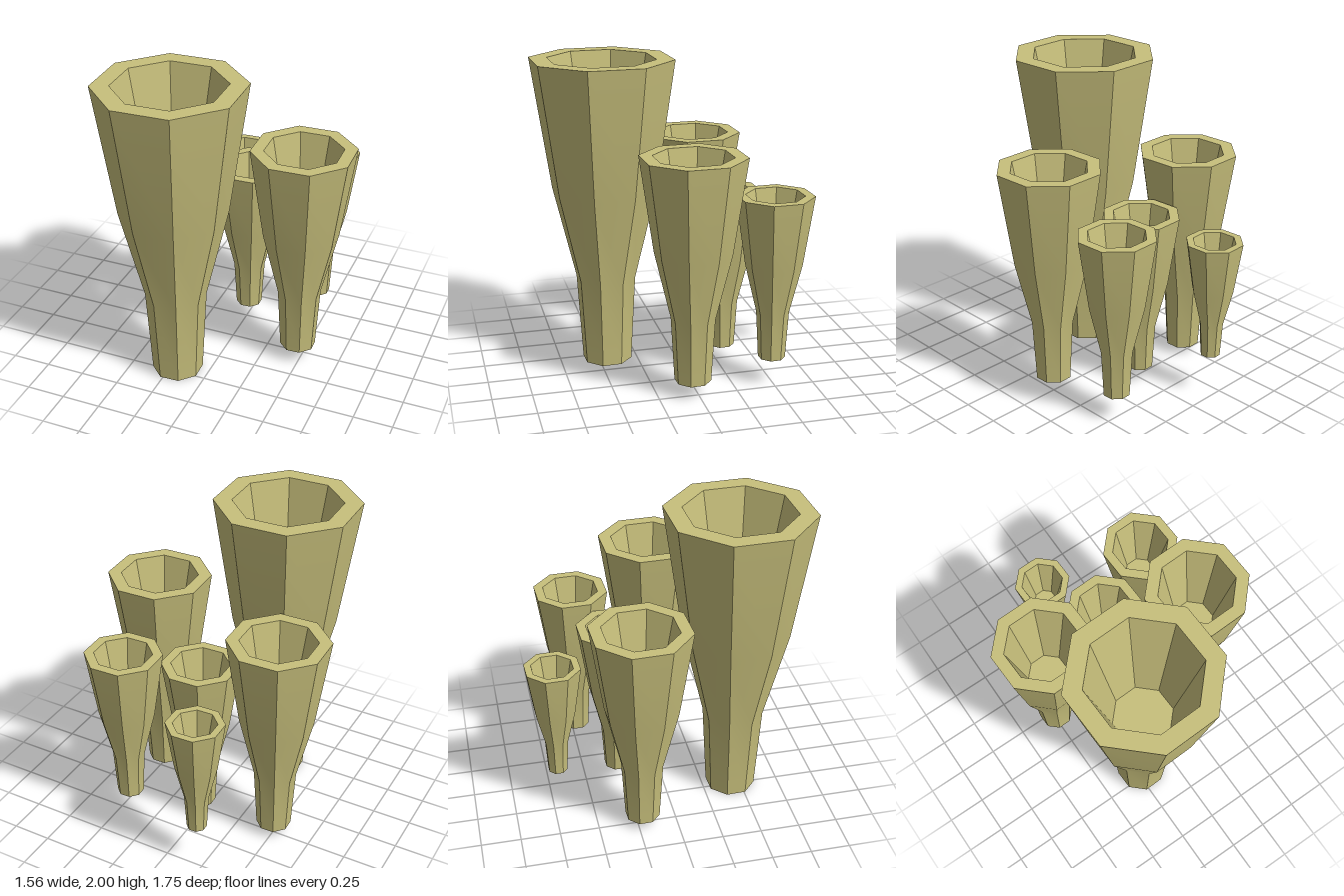
import * as THREE from 'three';
import { toCreasedNormals } from 'three/addons/utils/BufferGeometryUtils.js';

// Profile of one tube as [radius fraction, height fraction]: base, flared outside, rim, tapered hole, floor
const PROFILE = [
  [0, 0], [0.35, 0], [0.42, 0.285], [0.73, 0.58], [1, 1],
  [0.747, 1], [0.41, 0.62], [0, 0.62],
];

// Each tube: x, z, bottom y, top y, rim corner radius
const TUBES = {
  tallFrontTube: [-0.21, 0.44, 0, 2, 0.461],
  rightTube: [-0.485, -0.215, 0.06, 1.44, 0.316],
  leftTube: [0.47, 0.03, 0.095, 1.52, 0.327],
  middleTube: [0.005, -0.285, 0.11, 1.17, 0.245],
  backLeftTube: [0.425, -0.495, 0.175, 1.235, 0.243],
  smallBackTube: [-0.195, -0.708, 0.285, 1.065, 0.179],
};

function tubeGeometry(radius, height) {
  const points = PROFILE.map(([r, h]) => new THREE.Vector2(r * radius, h * height));
  const turn = THREE.MathUtils.degToRad(24.5);
  // Eight sharp sides, each smooth along its height
  return toCreasedNormals(new THREE.LatheGeometry(points, 8, turn), Math.PI / 6);
}

export function createModel() {
  const group = new THREE.Group();
  group.name = 'tubeCluster';
  const material = new THREE.MeshStandardMaterial({ color: 0xc8c07c });
  for (const [name, [x, z, bottom, top, radius]] of Object.entries(TUBES)) {
    const tube = new THREE.Mesh(tubeGeometry(radius, top - bottom), material);
    tube.name = name;
    tube.position.set(x, bottom, z);
    group.add(tube);
  }
  return group;
}
